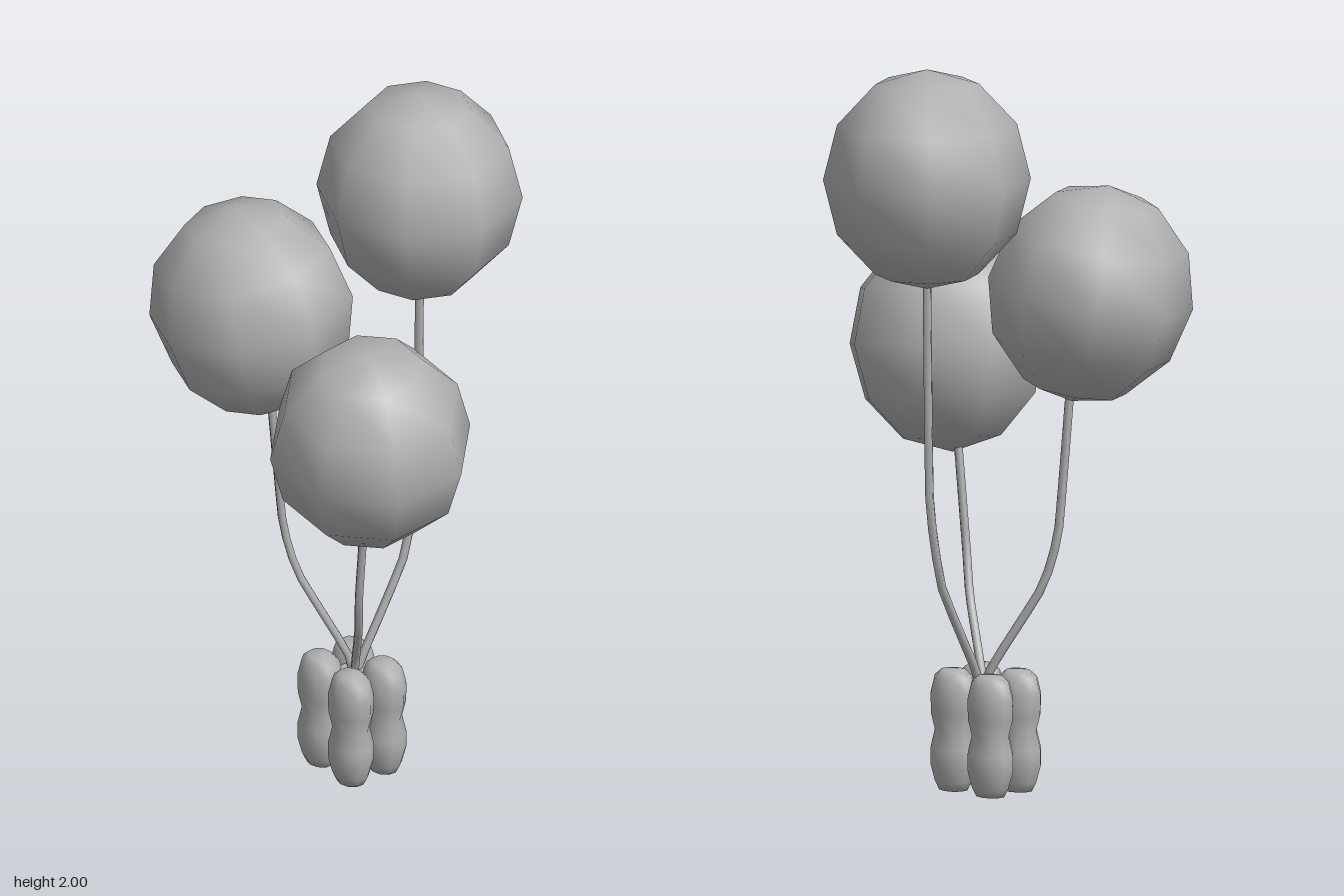
import * as THREE from 'three';

const grey = new THREE.MeshStandardMaterial({ color: 0xb0b0b0 });
grey.name = 'plain grey';

function add(parent, name, geometry) {
  const mesh = new THREE.Mesh(geometry, grey);
  mesh.name = name;
  parent.add(mesh);
  return mesh;
}

// Each balloon: centre, tilt and yaw, and the path of its string
const balloons = [
  {
    name: 'back', at: [0, 1.7, -0.19], turn: [0, 0, 0],
    path: [[-0.015, 0.27, 0.015], [-0.013, 0.33, -0.01], [-0.012, 0.58, -0.145], [-0.01, 0.82, -0.19], [0, 1.43, -0.19]],
  },
  {
    name: 'right', at: [-0.247, 1.365, 0.19], turn: [0.1, 0, 0.14],
    path: [[-0.015, 0.27, 0.02], [-0.035, 0.34, 0.03], [-0.145, 0.56, 0.11], [-0.18, 0.71, 0.135], [-0.2, 1.1, 0.16]],
  },
  {
    name: 'left', at: [0.262, 1.17, 0.178], turn: [0.1, 0.42, -0.15],
    path: [[-0.015, 0.27, 0.02], [0.005, 0.33, 0.03], [0.11, 0.5, 0.1], [0.15, 0.62, 0.13], [0.195, 0.91, 0.145]],
  },
];

export function createModel() {
  const model = new THREE.Group();
  model.name = 'balloonBunch';

  for (const { name, at, turn, path } of balloons) {
    // Faceted outline with smooth normals, slightly taller than wide
    const geometry = new THREE.SphereGeometry(0.3, 8, 6);
    geometry.scale(0.93, 1, 0.93);
    const balloon = add(model, name + 'Balloon', geometry);
    balloon.position.set(...at);
    balloon.rotation.set(turn[0], turn[1], turn[2], 'ZXY');

    // Thin string, nearly straight between its bends
    const curve = new THREE.CatmullRomCurve3(path.map((p) => new THREE.Vector3(...p)), false, 'catmullrom', 0.2);
    add(model, name + 'String', new THREE.TubeGeometry(curve, 14, 0.012, 6));
  }

  // Weight made of four pinched lobes
  const weight = new THREE.Group();
  weight.name = 'weight';
  weight.position.set(-0.015, 0, 0.027);
  weight.scale.set(1.18, 1, 1);
  model.add(weight);

  const profile = [
    [0, 0.004], [0.036, 0], [0.047, 0.025], [0.058, 0.07], [0.058, 0.115], [0.047, 0.165],
    [0.057, 0.21], [0.058, 0.265], [0.048, 0.31], [0.03, 0.328], [0, 0.332],
  ].map(([r, y]) => new THREE.Vector2(r, y));
  const lobe = new THREE.LatheGeometry(profile, 10);
  for (const sx of [-1, 1]) {
    for (const sz of [-1, 1]) {
      add(weight, 'weightLobe', lobe).position.set(sx * 0.057, 0, sz * 0.055);
    }
  }

  // Core that fills the gap where the strings are tied
  add(weight, 'weightCore', new THREE.CylinderGeometry(0.035, 0.03, 0.24, 8)).position.y = 0.17;

  return model;
}
